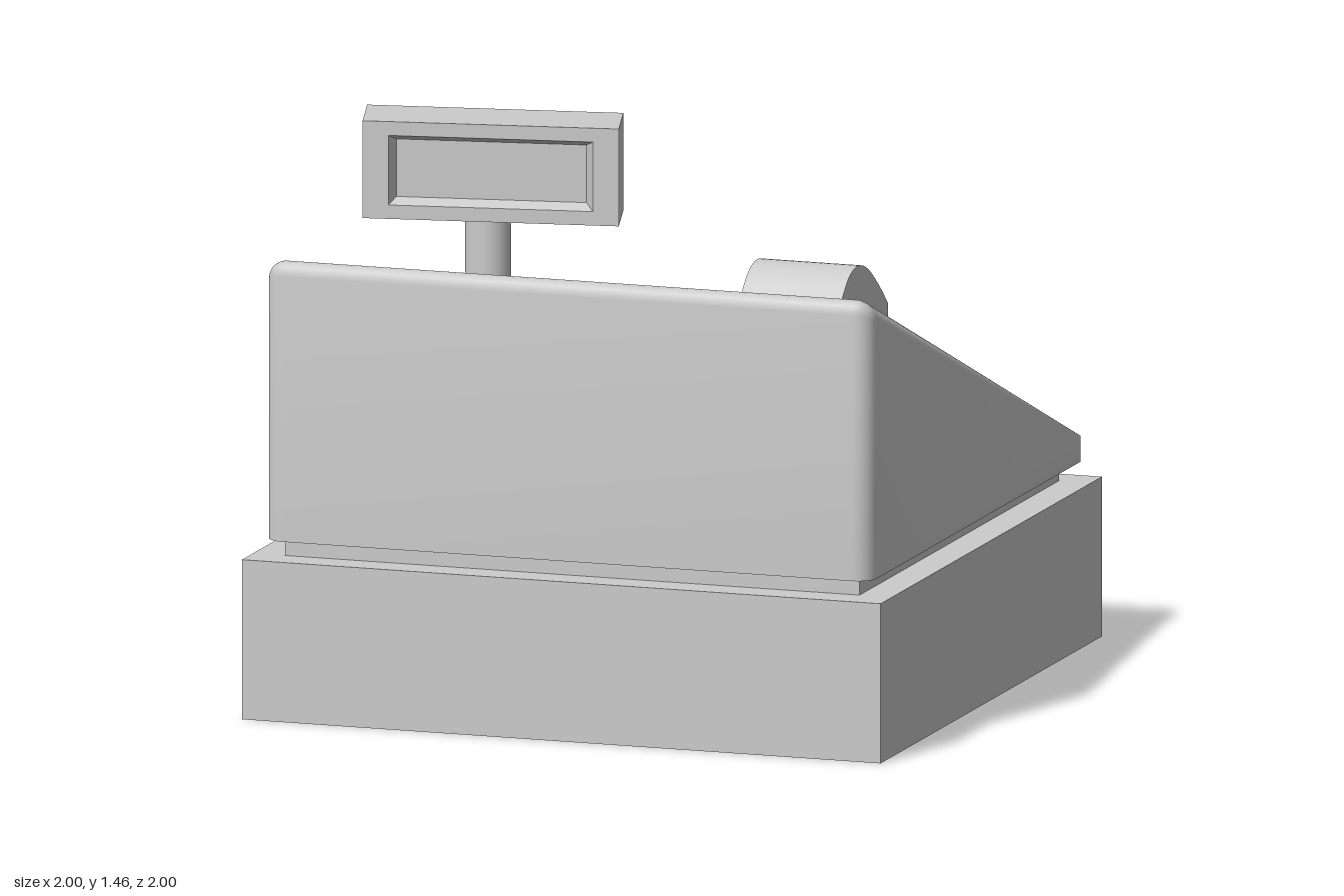
import * as THREE from 'three';
import { toCreasedNormals } from 'three/addons/utils/BufferGeometryUtils.js';

const material = new THREE.MeshStandardMaterial({ color: 0xcccccc });
const SLOPE = 0.412;
const HALF = 0.7925; // half width of the sloped body
const topY = (z) => 0.51 + (z + HALF) * SLOPE;

function add(parent, name, geometry, x = 0, y = 0, z = 0) {
  const mesh = new THREE.Mesh(geometry, material);
  mesh.name = name;
  mesh.position.set(x, y, z);
  parent.add(mesh);
  return mesh;
}

// Skin a stack of equal-length rings and close both ends with fans
function loft(rings) {
  const pos = [];
  const n = rings[0].length;
  const tri = (...pts) => pts.forEach((p) => pos.push(p[0], p[1], p[2]));
  const middle = (ring) => [0, 1, 2].map((k) => ring.reduce((s, p) => s + p[k], 0) / n);
  const first = rings[0];
  const last = rings[rings.length - 1];
  const c0 = middle(first);
  const c1 = middle(last);
  for (let i = 0; i < n; i++) {
    const j = (i + 1) % n;
    tri(c0, first[j], first[i]);
    for (let r = 0; r + 1 < rings.length; r++) {
      tri(rings[r][i], rings[r][j], rings[r + 1][j]);
      tri(rings[r][i], rings[r + 1][j], rings[r + 1][i]);
    }
    tri(c1, last[i], last[j]);
  }
  const g = new THREE.BufferGeometry();
  g.setAttribute('position', new THREE.Float32BufferAttribute(pos, 3));
  return toCreasedNormals(g, 0.6);
}

// Wedge body: rounded at the tall end, the rounding fading out to the low end
function bodyGeometry() {
  const R = 0.05;
  const STEPS = 6;
  const ring = (angle, y) => {
    const points = [];
    const r = R * Math.max(Math.cos(angle), 0.02);
    const drop = R * (1 - Math.sin(angle));
    for (const side of [-1, 1]) {
      for (let i = 0; i <= STEPS; i++) {
        const t = (Math.PI / 2) * (side < 0 ? 2 - i / STEPS : 1 - i / STEPS);
        const x = side * (HALF - R) + r * Math.cos(t);
        const z = HALF - R + r * Math.sin(t);
        points.push([x, y ?? topY(z) - drop, z]);
      }
    }
    for (const side of [1, -1]) points.push([side * HALF, y ?? topY(-HALF), -HALF]);
    return points;
  };
  const rings = [ring(0, 0.445)];
  for (let k = 0; k <= STEPS; k++) rings.push(ring((k / STEPS) * Math.PI / 2));
  return loft(rings);
}

// Key with upright walls, sheared to lie along the slope
function keyGeometry() {
  const g = new THREE.BoxGeometry(0.115, 0.05, 0.125);
  const p = g.attributes.position;
  for (let i = 0; i < p.count; i++) p.setY(i, p.getY(i) + p.getZ(i) * SLOPE);
  g.computeVertexNormals();
  return g;
}

// Slightly skewed display box with a recessed screen
function displayGeometry() {
  const rect = (w, h, z) => [[-1, -1], [1, -1], [1, 1], [-1, 1]].map(([sx, sy]) => {
    const x = (sx * w) / 2;
    return [x + z * 0.05, (sy * h) / 2, z + x * 0.055];
  });
  return loft([
    rect(0.64, 0.245, -0.1),
    rect(0.64, 0.245, 0.1),
    rect(0.51, 0.175, 0.1),
    rect(0.475, 0.145, 0.065),
  ]);
}

// Humped cover of the receipt printer
function printerGeometry() {
  const shape = new THREE.Shape();
  shape.moveTo(0.37, 0.96);
  shape.lineTo(0.72, 1.1);
  shape.lineTo(0.72, 1.135);
  shape.splineThru([[0.665, 1.182], [0.6, 1.198], [0.53, 1.18], [0.45, 1.128], [0.37, 1.06]]
    .map(([z, y]) => new THREE.Vector2(z, y)));
  shape.closePath();
  const g = new THREE.ExtrudeGeometry(shape, { depth: 0.262, bevelEnabled: false, curveSegments: 4 });
  g.rotateY(-Math.PI / 2);
  g.translate(0.693, 0, 0);
  return toCreasedNormals(g, 0.5);
}

export function createModel() {
  const model = new THREE.Group();
  model.name = 'cashRegister';

  // The register is turned a little on the spot
  const register = new THREE.Group();
  register.name = 'register';
  register.rotation.y = -0.2268;
  model.add(register);

  add(register, 'drawerBase', new THREE.BoxGeometry(1.668, 0.402, 1.668), 0, 0.201, 0);
  add(register, 'plinth', new THREE.BoxGeometry(1.5, 0.06, 1.5), 0, 0.42, 0);
  add(register, 'body', bodyGeometry());
  add(register, 'receiptPrinter', printerGeometry());

  // Keypad
  const keypad = new THREE.Group();
  keypad.name = 'keypad';
  register.add(keypad);
  const key = keyGeometry();
  for (const x of [-0.59, -0.41, -0.24, -0.057]) {
    for (const z of [-0.577, -0.408, -0.237, -0.07]) {
      add(keypad, 'key', key, x, topY(z) + 0.013, z);
    }
  }

  // Customer display on its post
  add(model, 'displayPost', new THREE.CylinderGeometry(0.057, 0.057, 0.3, 32), -0.425, 1.08, 0.29);
  add(model, 'display', displayGeometry(), -0.414, 1.338, 0.282);
  return model;
}
